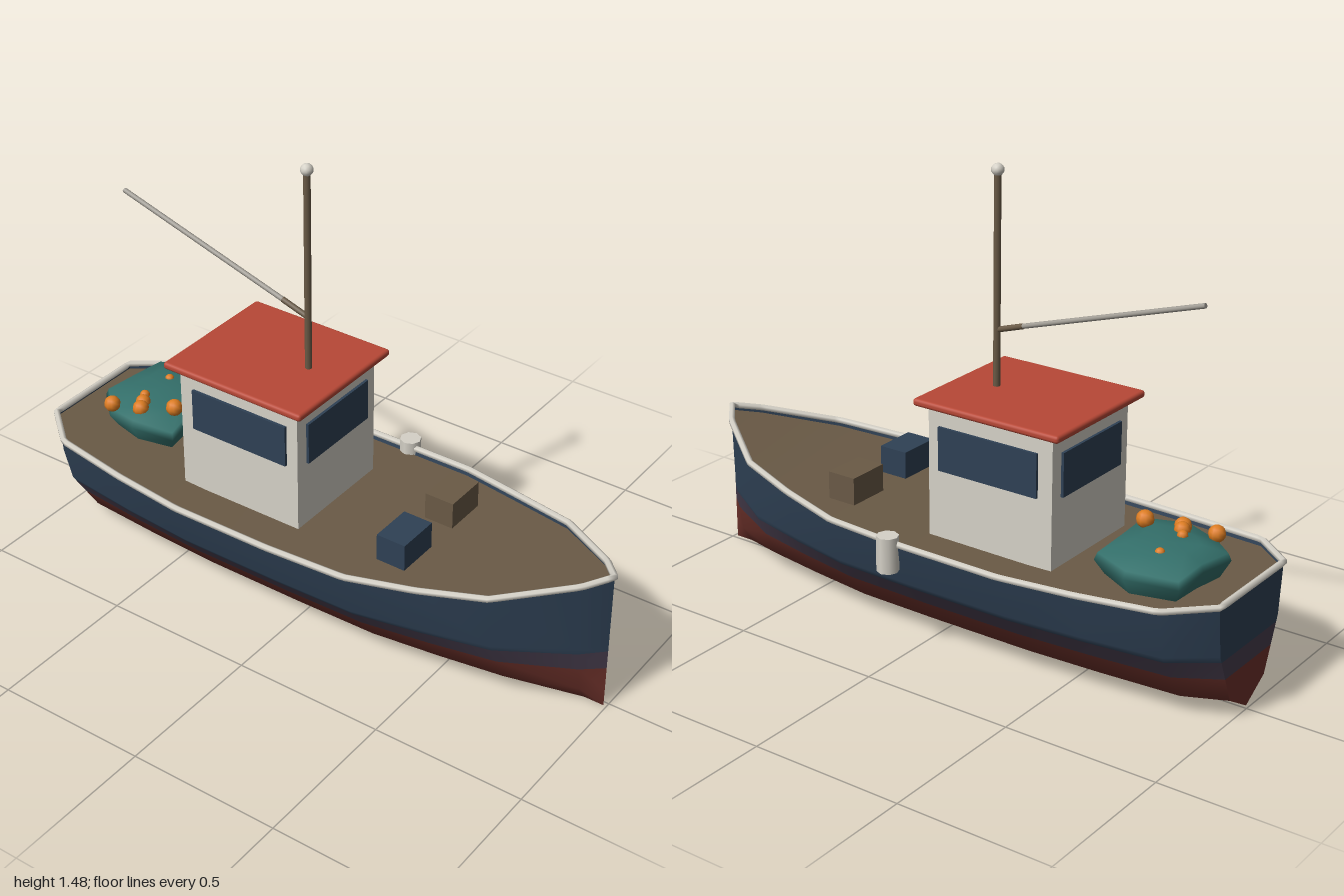
import * as THREE from 'three';
import { mergeVertices } from 'three/addons/utils/BufferGeometryUtils.js';
import { RoundedBoxGeometry } from 'three/addons/geometries/RoundedBoxGeometry.js';

const material = (name, color, side = THREE.FrontSide) => {
  const m = new THREE.MeshStandardMaterial({ color, side });
  m.name = name;
  return m;
};

// Skin over a grid of points cols[i][j]; each row band j is its own material group.
function skin(cols, bands, flip = false) {
  const n = cols[0].length, index = [];
  const g = new THREE.BufferGeometry();
  g.setAttribute('position', new THREE.Float32BufferAttribute(cols.flat(2), 3));
  for (let j = 0; j < n - 1; j++) {
    const start = index.length;
    for (let i = 0; i < cols.length - 1; i++) {
      const a = i * n + j, b = a + 1, c = a + n, d = c + 1;
      index.push(...(flip ? [a, c, b, b, c, d] : [a, b, c, b, d, c]));
    }
    g.addGroup(start, index.length - start, bands[j]);
  }
  g.setIndex(index);
  const merged = mergeVertices(g, 1e-5);
  merged.computeVertexNormals();
  return merged;
}

export function createModel() {
  const D = THREE.DoubleSide;
  const navy = material('navy paint', 0x2f4155, D);
  const red = material('bottom red', 0x6e322b, D);
  const stripe = material('waterline purple', 0x463c4c, D);
  const wood = material('wood brown', 0x6a5a46, D);
  const white = material('off white', 0xd6d2c8);
  const roofRed = material('roof red', 0xb84836);
  const teal = material('net teal', 0x34706b, D);
  const orange = material('float orange', 0xdc7c22);
  const grey = material('spar grey', 0xa09c94);

  const model = new THREE.Group();
  model.name = 'fishingBoat';
  const boat = new THREE.Group();
  boat.name = 'boat';
  boat.position.x = -0.015;
  model.add(boat);

  const add = (name, geometry, mat, x = 0, y = 0, z = 0) => {
    const mesh = new THREE.Mesh(geometry, mat);
    mesh.name = name;
    mesh.position.set(x, y, z);
    boat.add(mesh);
    return mesh;
  };
  const box = (name, mat, w, h, d, x, y, z) =>
    add(name, new THREE.BoxGeometry(w, h, d), mat, x, y, z);
  const rod = (name, mat, from, to, r) => {
    const a = new THREE.Vector3(...from), b = new THREE.Vector3(...to);
    const dir = b.clone().sub(a), mid = a.add(b).multiplyScalar(0.5);
    const mesh = add(name, new THREE.CylinderGeometry(r, r, dir.length(), 8), mat, ...mid.toArray());
    mesh.quaternion.setFromUnitVectors(new THREE.Vector3(0, 1, 0), dir.normalize());
  };

  // Hull stations, stern to bow: z, half width, sheer height
  const stations = [
    [-0.99, 0.185, 0.39], [-0.86, 0.295, 0.383], [-0.6, 0.33, 0.372], [-0.35, 0.352, 0.365],
    [0, 0.352, 0.367], [0.28, 0.343, 0.375], [0.5, 0.29, 0.392], [0.71, 0.228, 0.417],
    [0.925, 0.075, 0.462], [0.99, 0, 0.48],
  ];
  // Half section: height and share of the half width, keel to sheer
  const section = [[0, 0], [0.06, 0.54], [0.143, 0.72], [0.207, 0.86], [0.228, 0.905], [null, 1]];
  const hullMats = [red, stripe, navy], bands = [0, 0, 1, 2, 2];
  const ring = ([z, w, top], s) => section.map(([y, f]) => [s * w * f, y ?? top, z]);

  for (const s of [1, -1]) {
    add(s > 0 ? 'hullLeft' : 'hullRight', skin(stations.map(st => ring(st, s)), bands, s < 0), hullMats);
  }
  add('transom', skin([ring(stations[0], -1), ring(stations[0], 1)], bands), hullMats);

  // Deck just below the sheer
  add('deck', skin(stations.map(([z, w, y]) =>
    [[-w * 0.97, y - 0.018, z], [w * 0.97, y - 0.018, z]]), [0], true), [wood]);

  // Rail around the sheer
  const sheer = s => stations.map(([z, w, y]) => new THREE.Vector3(s * w, y, z));
  const loop = [...sheer(1), ...sheer(-1).reverse().slice(1)];
  const path = new THREE.CurvePath();
  loop.forEach((p, i) => path.add(new THREE.LineCurve3(p, loop[(i + 1) % loop.length])));
  add('rail', new THREE.TubeGeometry(path, 200, 0.011, 6, true), white);

  // Wheelhouse with windows on all four sides
  box('wheelhouse', white, 0.4, 0.43, 0.445, 0, 0.56, -0.213);
  add('roof', new RoundedBoxGeometry(0.47, 0.024, 0.52, 2, 0.01), roofRed, 0, 0.78, -0.215);
  for (const s of [1, -1]) {
    box('sideWindow', navy, 0.009, 0.14, 0.355, s * 0.2045, 0.64, -0.208);
    box('endWindow', navy, 0.31, 0.14, 0.009, 0, 0.64, -0.213 + s * 0.227);
  }

  // Mast, masthead light and boom
  rod('mast', wood, [0, 0.78, -0.095], [0, 1.45, -0.095], 0.011);
  add('mastheadLight', new THREE.IcosahedronGeometry(0.02, 1), white, 0, 1.46, -0.095);
  rod('boomHeel', wood, [0, 0.97, -0.095], [0, 1.0, -0.19], 0.009);
  rod('boom', grey, [0, 1.0, -0.19], [0, 1.185, -0.8], 0.008);

  // Deck boxes
  box('blueCrate', navy, 0.145, 0.09, 0.1, -0.13, 0.411, 0.352);
  box('woodCrate', wood, 0.145, 0.09, 0.1, 0.13, 0.411, 0.352);

  // Net heap: crumpled outline (x, z, edge height) pulled in towards the base and top
  const outline = [
    [-0.045, -0.895, 0.435], [0.08, -0.875, 0.44], [0.205, -0.87, 0.43], [0.245, -0.71, 0.435],
    [0.165, -0.56, 0.425], [0.05, -0.575, 0.445], [-0.125, -0.545, 0.43], [-0.155, -0.69, 0.44],
    [-0.125, -0.81, 0.425],
  ];
  const cx = 0.045, cz = -0.72;
  const netRings = [[0.84, 0.365, 0], [1, -0.015, 1], [0.95, 0.008, 1], [0.55, 0.464, 0], [0, 0.467, 0]];
  const net = [...outline, outline[0]].map(([x, z, h]) =>
    netRings.map(([k, y, rel]) => [cx + (x - cx) * k, y + rel * h, cz + (z - cz) * k]));
  add('net', skin(net, [0, 0, 0, 0]), [teal]);

  // Net floats: x, y, z, radius
  const floats = [
    [-0.115, 0.455, -0.805, 0.027], [-0.09, 0.462, -0.705, 0.027], [-0.06, 0.465, -0.72, 0.025],
    [-0.04, 0.476, -0.605, 0.028], [-0.025, 0.465, -0.742, 0.017], [0.105, 0.46, -0.745, 0.016],
  ];
  for (const [x, y, z, r] of floats) {
    add('netFloat', new THREE.SphereGeometry(r, 10, 8), orange, x, y, z);
  }

  // Fender over the left side
  add('fender', new THREE.CylinderGeometry(0.035, 0.035, 0.115, 8), white, 0.36, 0.336, 0.045);

  return model;
}
